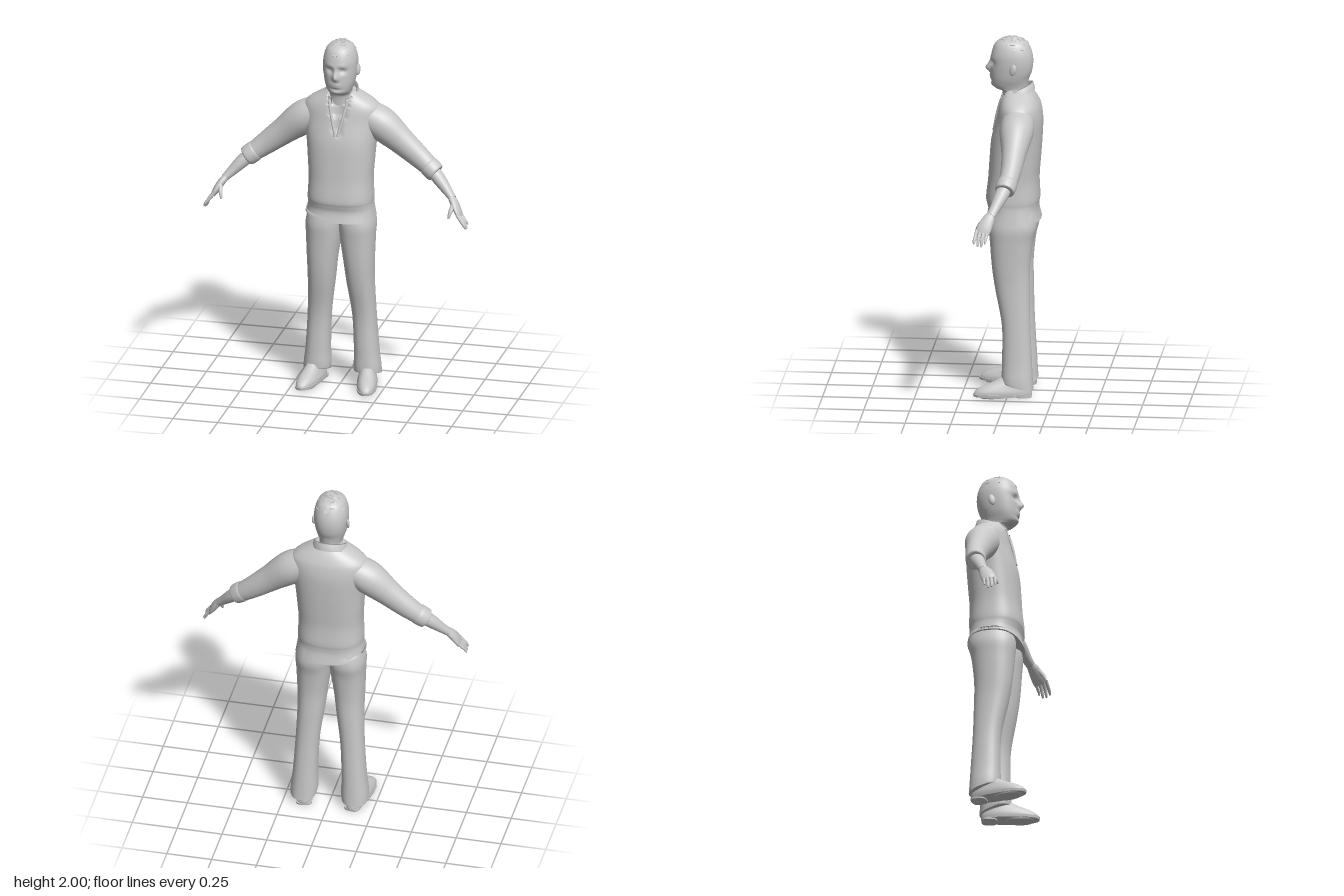
import * as THREE from 'three';

const grey = new THREE.MeshStandardMaterial({ color: 0xc8c8c8, side: THREE.DoubleSide });
grey.name = 'plain grey';

const V = (x, y, z) => new THREE.Vector3(x, y, z);
const gauss = (d, s) => Math.exp(-(d * d) / (2 * s * s));
const bend = (c, k) => Math.sign(c) * Math.abs(c) ** (2 / k);

function mesh(name, geometry) {
  const m = new THREE.Mesh(geometry, grey);
  m.name = name;
  return m;
}

// Smooth surface through a grid of points; closed joins the last column to the first
function grid(points, closed = true) {
  const n = points[0].length, index = [];
  for (let i = 0; i < points.length - 1; i++) {
    for (let j = 0; j < (closed ? n : n - 1); j++) {
      const k = (j + 1) % n, a = i * n, b = a + n;
      index.push(a + j, a + k, b + j, a + k, b + k, b + j);
    }
  }
  const g = new THREE.BufferGeometry();
  g.setAttribute('position', new THREE.Float32BufferAttribute(points.flat().flatMap(p => [p.x, p.y, p.z]), 3));
  g.setIndex(index);
  g.computeVertexNormals();
  return g;
}

// Insert smooth in-between sections
function refine(rows, steps) {
  const out = [], at = i => rows[Math.max(0, Math.min(rows.length - 1, i))];
  for (let i = 0; i < rows.length - 1; i++) {
    for (let s = 0; s < steps; s++) {
      const t = s / steps;
      out.push(rows[i].map((p, c) => {
        const a = at(i - 1)[c], q = at(i + 1)[c], d = at(i + 2)[c];
        return 0.5 * (2 * p + (q - a) * t + (2 * a - 5 * p + 4 * q - d) * t * t + (3 * p - a - 3 * q + d) * t ** 3);
      }));
    }
  }
  out.push(rows.at(-1));
  return out;
}

// Capped loft through sections [x, y, z, radius, depth radius, squareness], listed from the top down.
// Level lofts keep sections horizontal, others turn them along the path.
function loft(rows, { n = 24, steps = 4, level = true, move } = {}) {
  const fine = refine(rows.map(r => [...r.slice(0, 5), r[5] ?? 2]), steps);
  const centre = fine.map(r => V(r[0], r[1], r[2]));
  const rings = fine.map(([, , , ru, rv, k], i) => {
    let u = V(1, 0, 0), v = V(0, 0, 1);
    if (!level) {
      const t = centre[Math.min(i + 1, fine.length - 1)].clone().sub(centre[Math.max(i - 1, 0)]).normalize();
      u = V(-t.y, t.x, 0).normalize();
      v = t.cross(u);
    }
    return Array.from({ length: n }, (_, j) => {
      const a = j / n * Math.PI * 2;
      const p = centre[i].clone().addScaledVector(u, ru * bend(Math.cos(a), k)).addScaledVector(v, rv * bend(Math.sin(a), k));
      if (move) move(p, i / (fine.length - 1));
      return p;
    });
  });
  const cap = ring => {
    const c = V(0, 0, 0);
    ring.forEach(p => c.addScaledVector(p, 1 / n));
    return ring.map(() => c);
  };
  return grid([cap(rings[0]), rings[0], ...rings, rings.at(-1), cap(rings.at(-1))]);
}

// Section given by its x range and z range
const span = (y, x0, x1, z0, z1, k = 2.3) => [(x0 + x1) / 2, y, (z0 + z1) / 2, (x1 - x0) / 2, (z1 - z0) / 2, k];
const wide = (y, rx, z0, z1, k = 2.2) => span(y, -rx, rx, z0, z1, k);

function makeHead() {
  const head = new THREE.Group();
  head.name = 'head';
  // Skull, jaw and neck, with the face pushed out and in
  const face = p => {
    if (p.z < 0.02 || p.y < 1.69) return;
    const spot = (x, y, sx, sy) => gauss(Math.abs(p.x) - x, sx) * gauss(p.y - y, sy);
    p.z += 0.024 * spot(0, 1.812, 0.011, 0.014) + 0.014 * spot(0, 1.838, 0.009, 0.02)
      - 0.013 * spot(0.034, 1.85, 0.015, 0.011) + 0.004 * spot(0.03, 1.878, 0.02, 0.008)
      + 0.007 * spot(0, 1.772, 0.018, 0.006) + 0.006 * spot(0, 1.757, 0.016, 0.005)
      - 0.005 * spot(0, 1.743, 0.025, 0.006) + 0.004 * spot(0, 1.722, 0.016, 0.01);
  };
  head.add(mesh('headAndNeck', loft([
    wide(1.986, 0.02, -0.035, 0.025), wide(1.975, 0.052, -0.075, 0.055), wide(1.95, 0.076, -0.102, 0.082),
    wide(1.9, 0.091, -0.122, 0.1), wide(1.85, 0.093, -0.127, 0.102), wide(1.8, 0.088, -0.12, 0.104),
    wide(1.76, 0.08, -0.105, 0.103), wide(1.725, 0.068, -0.098, 0.099), wide(1.703, 0.062, -0.098, 0.075),
    wide(1.685, 0.066, -0.1, 0.04), wide(1.6, 0.075, -0.1, 0.035)], { n: 72, steps: 6, move: face })));
  for (const s of [1, -1]) {
    const ear = mesh('ear', new THREE.SphereGeometry(1, 14, 10));
    ear.scale.set(0.01, 0.032, 0.019);
    ear.position.set(s * 0.094, 1.825, -0.025);
    ear.rotation.set(-0.2, s * -0.3, 0);
    head.add(ear);
  }
  // Short tufts laid over the scalp
  const hair = new THREE.Group();
  hair.name = 'hair';
  const up = V(0, 1, 0);
  [[0.12, 4], [0.42, 9], [0.72, 13], [1.0, 16]].forEach(([tilt, count], ring) => {
    for (let i = 0; i < count; i++) {
      const a = (i + ring * 0.4) / count * Math.PI * 2;
      const d = V(Math.sin(tilt) * Math.cos(a), Math.cos(tilt), Math.sin(tilt) * Math.sin(a));
      const tuft = mesh('hairTuft', new THREE.BoxGeometry(0.026, 0.005, 0.034));
      tuft.position.set(d.x * 0.087, 1.89 + d.y * 0.1, -0.012 + d.z * 0.108);
      tuft.quaternion.setFromUnitVectors(up, d);
      tuft.rotateY(-a + Math.PI / 2);
      tuft.rotateX(((i * 7 + ring * 3) % 5 - 2) * 0.1);
      hair.add(tuft);
    }
  });
  head.add(hair);
  return head;
}

function makeShirt() {
  const shirt = new THREE.Group();
  shirt.name = 'shirt';
  // Body with a sunken neck opening and a lifted hem on one side
  const shape = (p, t) => {
    const open = 0.055 * (p.y - 1.47) / 0.2;
    if (p.z > 0 && open > 0 && Math.abs(p.x) < open) p.z -= 0.018;
    if (t > 0.95 && p.x < 0) p.y += 0.03 * (p.x / 0.19) ** 2;
  };
  shirt.add(mesh('shirtBody', loft([
    wide(1.7, 0.08, -0.115, 0.03), wide(1.675, 0.125, -0.135, 0.038), wide(1.64, 0.18, -0.155, 0.05),
    wide(1.6, 0.212, -0.17, 0.06), wide(1.53, 0.212, -0.18, 0.075), wide(1.42, 0.193, -0.176, 0.1, 2.4),
    wide(1.3, 0.182, -0.167, 0.11, 2.5), wide(1.2, 0.176, -0.16, 0.117, 2.5), wide(1.1, 0.18, -0.164, 0.128, 2.5),
    wide(1.065, 0.179, -0.16, 0.122, 2.5), wide(1.03, 0.183, -0.16, 0.116, 2.5), wide(0.975, 0.192, -0.172, 0.129, 2.5)],
  { n: 64, steps: 5, move: shape })));
  // Folded collar: stand, fold and fall, dropping to points at the front
  const rows = [[0, -0.028], [0.002, 0.01], [0.012, 0.008], [0.022, -0.03]].map(([out, dy], r) =>
    Array.from({ length: 33 }, (_, j) => {
      const a = -Math.PI / 2 + (j / 32 - 0.5) * 5.3, f = Math.sin(a) * 0.5 + 0.5;
      const drop = r === 3 ? 0.045 * f ** 4 : 0;
      return V(Math.cos(a) * (0.079 + out), 1.73 - 0.075 * f + dy - drop, -0.036 + Math.sin(a) * (0.08 + out));
    }));
  shirt.add(mesh('collar', grid(rows, false)));
  for (const s of [1, -1]) {
    // Edges of the neck opening
    shirt.add(mesh('placket', loft([
      [s * 0.052, 1.66, 0.042, 0.008, 0.006], [s * 0.032, 1.57, 0.068, 0.008, 0.006], [s * 0.006, 1.465, 0.09, 0.008, 0.005]],
    { n: 10, level: false })));
    shirt.add(mesh('sleeve', loft([
      [s * 0.1, 1.575, -0.06, 0.07, 0.08], [s * 0.21, 1.515, -0.057, 0.093, 0.093], [s * 0.33, 1.42, -0.053, 0.075, 0.068],
      [s * 0.43, 1.34, -0.046, 0.062, 0.056], [s * 0.515, 1.275, -0.03, 0.05, 0.05]], { n: 28, steps: 5, level: false })));
    shirt.add(mesh('rolledCuff', loft([
      [s * 0.482, 1.301, -0.036, 0.05, 0.05], [s * 0.49, 1.295, -0.034, 0.057, 0.056],
      [s * 0.525, 1.267, -0.024, 0.055, 0.055], [s * 0.533, 1.261, -0.022, 0.047, 0.047]], { n: 28, level: false })));
  }
  return shirt;
}

function makeHand(s) {
  const hand = new THREE.Group();
  hand.name = s > 0 ? 'leftForearmAndHand' : 'rightForearmAndHand';
  const limb = (name, rows, n) => hand.add(mesh(name, loft(rows.map(([x, ...r]) => [s * x, ...r]), { n, level: false })));
  limb('forearm', [[0.5, 1.287, -0.03, 0.038, 0.04], [0.555, 1.236, -0.004, 0.036, 0.038],
    [0.605, 1.185, 0.022, 0.027, 0.029], [0.64, 1.15, 0.042, 0.02, 0.026]], 20);
  limb('palm', [[0.632, 1.158, 0.038, 0.019, 0.025], [0.655, 1.128, 0.056, 0.021, 0.035],
    [0.678, 1.09, 0.074, 0.018, 0.041], [0.693, 1.062, 0.084, 0.012, 0.037]], 20);
  limb('thumb', [[0.655, 1.135, 0.075, 0.012, 0.012], [0.646, 1.1, 0.102, 0.012, 0.012],
    [0.64, 1.075, 0.116, 0.009, 0.009], [0.637, 1.058, 0.122, 0.004, 0.004]], 10);
  for (let i = 0; i < 4; i++) {
    const z = 0.053 + i * 0.02, end = [1.015, 0.997, 1.0, 1.012][i], r = i ? 0.0095 : 0.008;
    limb('finger', [[0.683, 1.08, z, r, r], [0.711, 1.045, z + 0.008, r, r],
      [0.725, end + 0.015, z + 0.012, r * 0.85, r * 0.85], [0.731, end, z + 0.012, 0.004, 0.004]], 10);
  }
  return hand;
}

function makeLeg(s) {
  const leg = new THREE.Group();
  leg.name = s > 0 ? 'leftLeg' : 'rightLeg';
  // Trouser leg, its hem lifted over the shoe
  const rows = [span(1.04, -0.01, 0.17, -0.145, 0.09), span(0.95, -0.008, 0.192, -0.155, 0.106), span(0.86, 0, 0.19, -0.135, 0.1),
    span(0.72, 0.02, 0.185, -0.12, 0.088), span(0.6, 0.034, 0.183, -0.12, 0.07), span(0.4, 0.06, 0.19, -0.123, 0.032),
    span(0.2, 0.068, 0.203, -0.133, 0.03), span(0.1, 0.066, 0.214, -0.138, 0.032), span(0.04, 0.07, 0.215, -0.142, 0.026)];
  leg.add(mesh('trouserLeg', loft(rows.map(([x, ...r]) => [s * x, ...r]), {
    n: 32, steps: 5, move: (p, t) => { if (t > 0.9) p.y += (t - 0.9) * 10 * 0.3 * Math.max(0, p.z + 0.13); },
  })));
  const shoe = new THREE.Group();
  shoe.name = 'shoe';
  shoe.add(mesh('shoeUpper', loft([
    wide(0.11, 0.035, -0.13, 0.02), wide(0.085, 0.042, -0.14, 0.065), wide(0.06, 0.049, -0.146, 0.125),
    wide(0.035, 0.055, -0.15, 0.16), wide(0.012, 0.054, -0.151, 0.168)], { n: 32 })));
  shoe.add(mesh('sole', loft([wide(0.022, 0.057, -0.152, 0.171, 2.4), wide(0.008, 0.055, -0.15, 0.168, 2.4)], { n: 32, steps: 1 })));
  shoe.add(mesh('heel', loft([wide(0.012, 0.045, -0.15, -0.06, 3), wide(0, 0.044, -0.148, -0.062, 3)], { n: 24, steps: 1 })));
  shoe.add(mesh('ballOfSole', loft([wide(0.012, 0.05, -0.02, 0.15), wide(0, 0.046, -0.01, 0.135)], { n: 24, steps: 1 })));
  shoe.position.set(s * 0.155, 0, 0.016);
  shoe.rotation.y = s * 0.18;
  leg.add(shoe);
  return leg;
}

export function createModel() {
  const man = new THREE.Group();
  man.name = 'standingMan';
  man.add(makeHead(), makeShirt());
  for (const s of [1, -1]) man.add(makeHand(s), makeLeg(s));
  return man;
}
